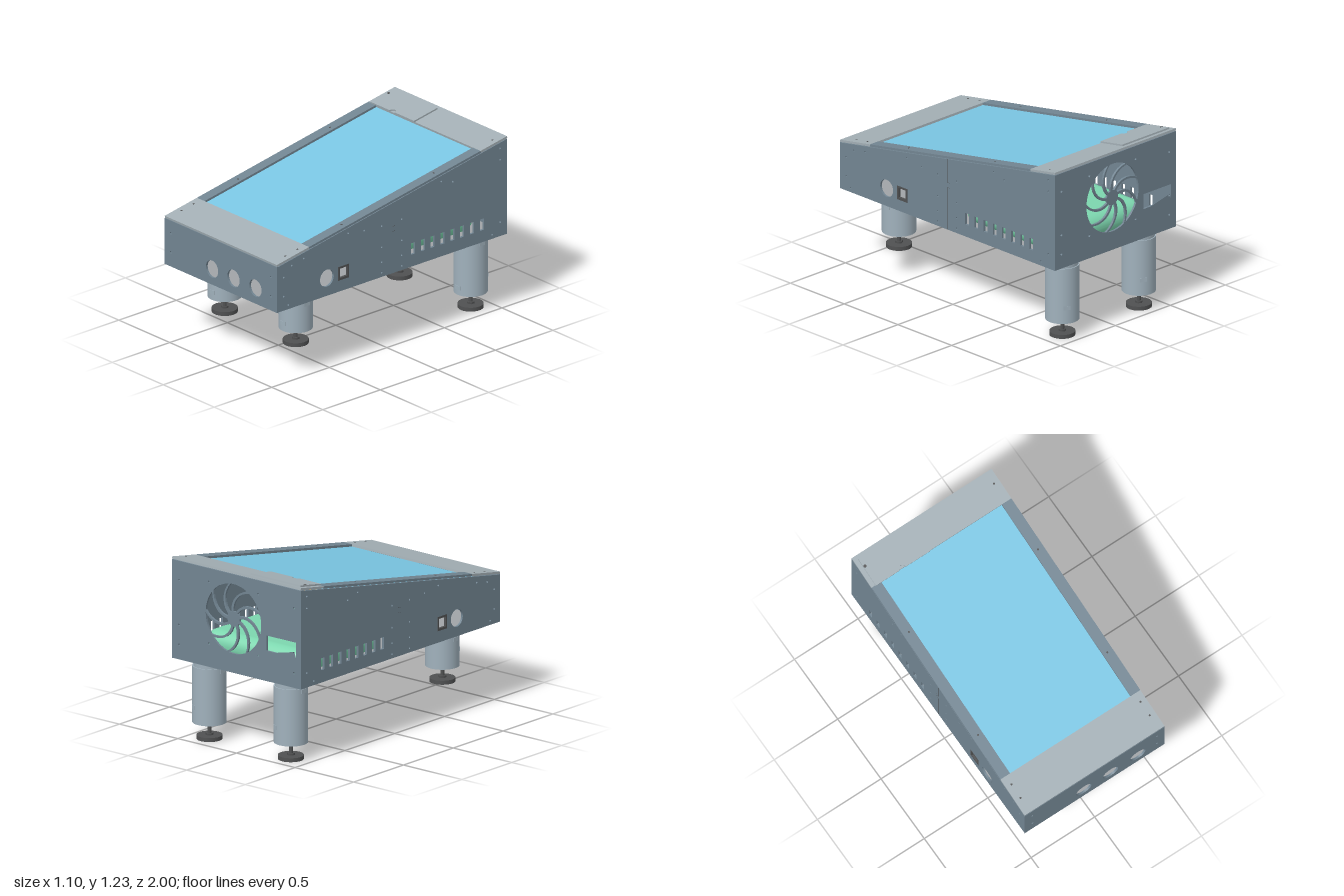
import * as THREE from 'three';
import { RoundedBoxGeometry } from 'three/addons/geometries/RoundedBoxGeometry.js';

const mat = (name, color) => Object.assign(new THREE.MeshStandardMaterial({ color }), { name });

export function createModel() {
  const slate = mat('slate panel', 0x728592);
  const frame = mat('grey frame', 0xa3afb5);
  const glass = mat('blue screen', 0x7ac6e3);
  const brown = mat('amber screen underside', 0xf0b060);
  const green = mat('green inner unit', 0x7cd6ae);
  const legMat = mat('pale leg', 0xa0b1bc);
  const dark = mat('dark foot', 0x505152);
  const floorMat = mat('grey floor', 0xa0a4a7);

  const model = new THREE.Group();
  const add = (name, geo, material, parent = model, x = 0, y = 0, z = 0) => {
    const m = new THREE.Mesh(geo, material);
    m.name = name;
    m.position.set(x, y, z);
    parent.add(m);
    return m;
  };
  const box = (name, x0, x1, y0, y1, z0, z1, material, parent) =>
    add(name, new THREE.BoxGeometry(x1 - x0, y1 - y0, z1 - z0), material, parent,
      (x0 + x1) / 2, (y0 + y1) / 2, (z0 + z1) / 2);
  const poly = (pts, C = THREE.Shape) => new C(pts.map(p => new THREE.Vector2(...p)));
  const rect = (x0, x1, y0, y1, C = THREE.Path) => poly([[x0, y0], [x1, y0], [x1, y1], [x0, y1]], C);
  const circle = (x, y, r) => new THREE.Path().absarc(x, y, r, 0, Math.PI * 2, true);
  const extrude = (shape, depth, curveSegments = 20) =>
    new THREE.ExtrudeGeometry(shape, { depth, bevelEnabled: false, curveSegments });

  const T = 0.015, base = 0.54, slope = 0.175;
  const wallTop = z => 0.859 + slope * (1 - z);

  // Front panel with three round openings
  const front = rect(-0.55, 0.55, base, 0.863, THREE.Shape);
  for (const x of [-0.085, 0.125, 0.34]) front.holes.push(circle(x, 0.65, 0.06));
  for (const x of [-0.49, 0.49]) for (const y of [0.64, 0.775]) front.holes.push(circle(x, y, 0.008));
  add('frontPanel', extrude(front, T), slate, model, 0, 0, 1 - T);

  // Back panel with fan opening and socket window
  const fanX = 0.026, fanY = 0.907, fanR = 0.237;
  const back = rect(-0.55, 0.55, base, wallTop(-1), THREE.Shape);
  back.holes.push(circle(fanX, fanY, fanR), rect(-0.507, -0.255, 0.745, 0.85));
  for (const x of [-0.49, 0.49]) for (const y of [0.64, 0.775, 1.08]) back.holes.push(circle(x, y, 0.008));
  for (const i of [-1, 1]) for (const j of [-1, 1])
    back.holes.push(circle(fanX + i * 0.21, fanY + j * 0.21, 0.008));
  add('backPanel', extrude(back, T, 32), slate, model, 0, 0, -1);

  // Fan grille: hub and swept spokes
  const grille = new THREE.Group();
  grille.name = 'fanGrille';
  grille.position.set(fanX, fanY, -1);
  model.add(grille);
  add('grilleHub', new THREE.CylinderGeometry(0.052, 0.052, T, 28).rotateX(Math.PI / 2), slate, grille, 0, 0, T / 2);
  const inner = [], outer = [];
  for (let i = 0; i <= 8; i++) {
    const r = 0.045 + i * 0.0245, a = 0.75 * (i / 8) ** 1.3, da = 0.009 / r;
    inner.push([r * Math.cos(a - da), r * Math.sin(a - da)]);
    outer.unshift([r * Math.cos(a + da), r * Math.sin(a + da)]);
  }
  const spoke = extrude(poly([...inner, ...outer]), T);
  for (let i = 0; i < 9; i++) add('grilleSpoke', spoke, slate, grille).rotation.z = i * Math.PI * 2 / 9;

  // Side panels, drawn along -z and turned into place
  const side = poly([[-0.985, base], [0.985, base], [0.985, wallTop(-0.985)], [-0.985, wallTop(0.985)]]);
  side.holes.push(circle(-0.565, 0.665, 0.06), rect(-0.465, -0.375, 0.62, 0.712));
  for (let i = 0; i < 8; i++) {
    const s = 0.183 + i * 0.0855;
    side.holes.push(rect(s - 0.017, s + 0.017, 0.625, 0.705));
  }
  const screws = [[0.94, 0.775], [0.94, 0.64], [0.9, 0.57], [0.87, 0.84], [0.765, 0.86], [0.38, 0.93], [0.24, 0.91],
    [0.09, 0.9], [0.09, 0.75], [0.09, 0.645], [0.09, 0.57], [-0.085, 0.9], [-0.085, 0.75], [-0.085, 0.645],
    [-0.085, 0.57], [-0.43, 1.07], [-0.53, 1.04], [-0.94, 1.16], [-0.94, 1.08], [-0.94, 0.64], [-0.87, 0.57]];
  for (const [z, y] of screws) side.holes.push(circle(-z, y, 0.007));
  const sideGeo = extrude(side, T).rotateY(Math.PI / 2);
  const bezel = rect(-0.467, -0.373, 0.618, 0.714, THREE.Shape);
  bezel.holes.push(rect(-0.453, -0.387, 0.634, 0.7));
  const bezelGeo = extrude(bezel, T + 0.002).rotateY(Math.PI / 2);
  for (const s of [1, -1]) {
    add('sidePanel', sideGeo, slate, model, s > 0 ? 0.55 - T : -0.55);
    add('switchBezel', bezelGeo, dark, model, s > 0 ? 0.55 - T - 0.001 : -0.551);
    // Joint between the two halves of the side
    const x0 = s * 0.55 - 0.0005, x1 = s * 0.55 + 0.0005;
    box('sideSeam', x0, x1, base, 0.835, -0.001, 0.001, dark);
    box('sideSeam', x0, x1, 0.87, wallTop(0), -0.001, 0.001, dark);
    for (const y of [0.835, 0.87]) box('sideSeamStep', x0, x1, y - 0.001, y + 0.001, -0.025, 0.001, dark);
  }

  // Floor and its joint
  box('floor', -0.535, 0.535, base + 0.001, base + T, -0.985, 0.985, floorMat);
  box('floorSeam', -0.535, 0.535, base, base + 0.002, -0.001, 0.001, dark);

  // Low rounded unit inside the cabinet
  add('innerUnit', new RoundedBoxGeometry(0.84, 0.175, 0.86, 6, 0.085), green, model, 0, 0.643, -0.43);

  // Sloping lid, built flat and tilted about its front edge
  const lid = new THREE.Group();
  lid.name = 'lid';
  lid.position.set(0, 0.879, 1);
  lid.rotation.x = Math.atan(slope);
  model.add(lid);
  const L = Math.hypot(1, slope), lz = z => (z - 1) * L;
  box('lidFront', -0.55, 0.55, -T, 0, lz(0.72), lz(1), frame, lid);
  box('lidBack', -0.55, 0.55, -T, 0, lz(-1), lz(-0.77), frame, lid);
  for (const s of [-1, 1]) {
    const x = s * 0.5125;
    box('lidSide', x - 0.0375, x + 0.0375, -T, 0, lz(-0.77), lz(0.72), slate, lid);
    for (const z of [0.89, 0.785, 0.4, -0.4, -0.91])
      add('lidScrew', new THREE.CylinderGeometry(0.007, 0.007, 0.002, 12), dark, lid, s * 0.508, 0, lz(z));
  }
  box('screen', -0.52, 0.52, -0.05, -0.024, lz(-0.8), lz(0.76),
    [brown, brown, glass, brown, brown, brown], lid);

  // Raised cover at the back with a finger notch
  const cover = new THREE.Shape();
  cover.moveTo(-0.52, -lz(-0.765));
  cover.lineTo(-0.335, -lz(-0.765));
  cover.absarc(-0.31, -lz(-0.765), 0.025, Math.PI, 0, true);
  cover.lineTo(-0.095, -lz(-0.765));
  cover.lineTo(-0.095, -lz(-0.97));
  cover.lineTo(-0.52, -lz(-0.97));
  add('backCover', extrude(cover, 0.011).rotateX(-Math.PI / 2), frame, lid);
  add('coverScrew', new THREE.CylinderGeometry(0.01, 0.01, 0.002, 12), dark, lid, -0.508, 0.011, lz(-0.91));

  // Legs: sleeve, collar, rod and foot
  const ring = (r, y0, y1, n = 40) => new THREE.CylinderGeometry(r, r, y1 - y0, n).translate(0, (y0 + y1) / 2, 0);
  const makeLeg = (name, x, z, footY, sleeveY, catches) => {
    const leg = new THREE.Group();
    leg.name = name;
    leg.position.set(x, 0, z);
    model.add(leg);
    const R = 0.1125;
    add('legSleeve', ring(R, sleeveY, 0.5), legMat, leg);
    add('legCollar', ring(0.105, 0.5, base), legMat, leg);
    add('footRod', ring(0.013, footY + 0.027, sleeveY, 16), dark, leg);
    add('footHub', ring(0.026, footY + 0.027, footY + 0.04, 6), dark, leg);
    add('footPad', ring(0.085, footY, footY + 0.027), dark, leg);
    for (const [angle, y] of catches) {
      const c = add('legCatch', new THREE.BoxGeometry(0.046, 0.028, 0.012), legMat, leg,
        Math.sin(angle) * (R - 0.005), y, Math.cos(angle) * (R - 0.005));
      c.rotation.y = angle;
    }
  };
  const q = Math.PI / 2;
  for (const x of [-0.348, 0.348]) {
    makeLeg('frontLeg', x, 0.657, 0.175, 0.285, [[0, 0.34], [-0.55, 0.39], [q, 0.48], [-q, 0.48]]);
    makeLeg('backLeg', x, -0.8625, 0, 0.115, [[0, 0.165], [q, 0.48], [-q, 0.48], [Math.PI - 0.5, 0.225]]);
  }
  return model;
}
